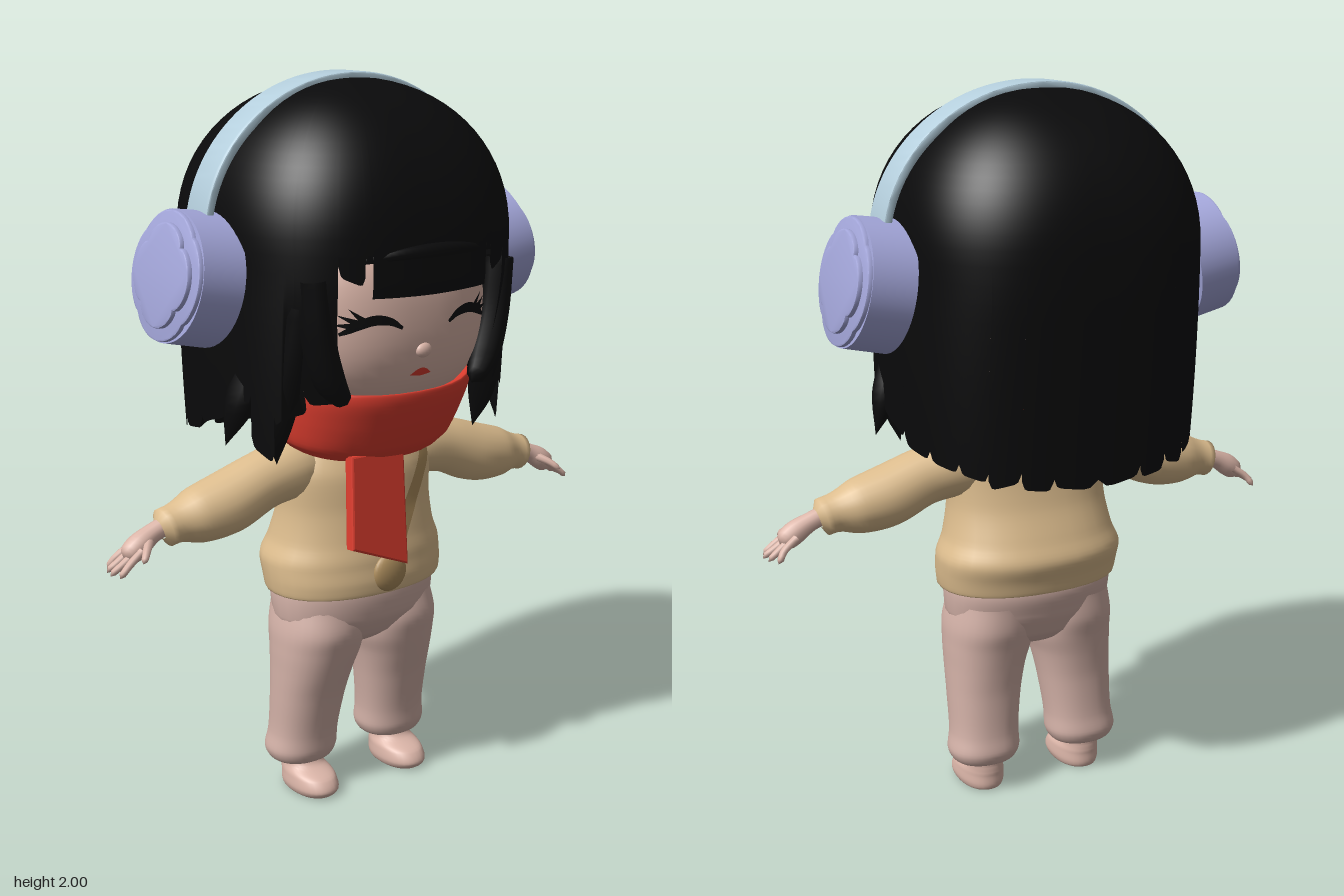
import * as THREE from 'three';
import { mergeVertices, mergeGeometries, toCreasedNormals } from 'three/addons/utils/BufferGeometryUtils.js';

const mat = (name, color, side = THREE.FrontSide) => {
  const m = new THREE.MeshStandardMaterial({ color, side });
  m.name = name;
  return m;
};
const V = (x, y, z = 0) => new THREE.Vector3(x, y, z);
const lerp = THREE.MathUtils.lerp;
const spow = (v, p) => Math.sign(v) * Math.abs(v) ** p;

// surface from fn(u, v): u runs to the right, v runs upward, seen from outside
function grid(nu, nv, fn) {
  const pos = [], idx = [];
  for (let i = 0; i <= nv; i++)
    for (let j = 0; j <= nu; j++) pos.push(...fn(j / nu, i / nv).toArray());
  for (let i = 0; i < nv; i++)
    for (let j = 0; j < nu; j++) {
      const a = i * (nu + 1) + j, b = a + nu + 1;
      idx.push(a, a + 1, b, a + 1, b + 1, b);
    }
  const g = new THREE.BufferGeometry();
  g.setAttribute('position', new THREE.Float32BufferAttribute(pos, 3));
  g.setIndex(idx);
  return smooth(g);
}
function smooth(g) {
  g.deleteAttribute('normal');
  g = mergeVertices(g, 1e-5);
  g.computeVertexNormals();
  return g;
}

// stacked oval sections, bottom to top: [y, centre x, half width, front z, back z]
function loft(rows, power = 0.9, lift = 0) {
  const c = new THREE.CatmullRomCurve3(rows.map(r => V(r[1], r[0], (r[3] + r[4]) / 2)));
  const s = new THREE.CatmullRomCurve3(rows.map(r => V(r[2], (r[3] - r[4]) / 2)));
  return grid(32, rows.length * 5, (u, v) => {
    const a = Math.PI * (1 + 2 * u), p = c.getPoint(v), r = s.getPoint(v);
    return V(p.x + r.x * spow(Math.sin(a), power), p.y + lift * (1 - Math.cos(a)) / 2,
      p.z + r.y * spow(Math.cos(a), power));
  });
}

// round limb through points [x, y, z, radius]
function limb(pts, segs = 20, sides = 16) {
  const c = new THREE.CatmullRomCurve3(pts.map(p => V(p[0], p[1], p[2])));
  const r = new THREE.CatmullRomCurve3(pts.map((p, i) => V(p[3], i)));
  const g = new THREE.TubeGeometry(c, segs, 1, sides), P = g.attributes.position;
  for (let i = 0; i <= segs; i++) {
    const o = c.getPointAt(i / segs), rad = Math.max(0, r.getPoint(c.getUtoTmapping(i / segs)).x);
    for (let j = 0; j <= sides; j++) {
      const k = i * (sides + 1) + j, q = V(0, 0).fromBufferAttribute(P, k).sub(o).multiplyScalar(rad).add(o);
      P.setXYZ(k, q.x, q.y, q.z);
    }
  }
  g.deleteAttribute('uv');
  return smooth(g);
}

// thin strip laid on the front of a mesh along 2D points
function ribbon(target, pts, width) {
  target.updateMatrixWorld();
  const c = new THREE.CatmullRomCurve3(pts.map(p => V(p[0], p[1])));
  const ray = new THREE.Raycaster();
  return grid(20, 2, (u, v) => {
    const t = c.getTangentAt(u), p = c.getPointAt(u).add(V(-t.y, t.x).multiplyScalar((v - 0.5) * width(u)));
    ray.set(V(p.x, p.y, 2), V(0, 0, -1));
    const hit = ray.intersectObject(target)[0];
    p.z = (hit ? hit.point.z : 0.15) + 0.006;
    return p;
  });
}

export function createModel() {
  const root = new THREE.Group();
  const hairM = mat('black hair', 0x0a0a0b, THREE.DoubleSide);
  const skin = mat('skin', 0xdcb6a9);
  const pants = mat('dusty pink trousers', 0xd4b2a8);
  const wool = mat('tan sweater', 0xddbd8e);
  const red = mat('red scarf', 0xdd3d2f, THREE.DoubleSide);
  const brown = mat('brown strap', 0xb0905f, THREE.DoubleSide);
  const lilac = mat('lilac cups', 0xa5a8dc);
  const blue = mat('pale blue band', 0xb4cedc);
  const add = (name, g, m, parent = root) => {
    const mesh = new THREE.Mesh(g, m);
    mesh.name = name;
    parent.add(mesh);
    return mesh;
  };

  // head: slightly squared ball
  const hg = new THREE.SphereGeometry(1, 48, 32), hp = hg.attributes.position;
  for (let i = 0; i < hp.count; i++) {
    const d = V(0, 0).fromBufferAttribute(hp, i);
    d.multiplyScalar((Math.abs(d.x) ** 2.5 + Math.abs(d.y) ** 2.5 + Math.abs(d.z) ** 2.5) ** -0.4);
    hp.setXYZ(i, d.x * 0.33, 1.4 + d.y * 0.29, 0.07 + d.z * 0.285);
  }
  hg.deleteAttribute('uv');
  const head = add('head', smooth(hg), skin);
  add('nose', new THREE.SphereGeometry(0.025, 16, 12).scale(1, 0.8, 0.6).translate(0, 1.315, 0.348), skin);
  add('mouth', ribbon(head, [[-0.034, 1.25], [0, 1.256], [0.034, 1.25]], u => 0.022 * Math.sin(Math.PI * u)), red);
  for (const s of [-1, 1]) {
    // closed smiling eye with lashes
    add('closedEye', ribbon(head, [[s * 0.075, 1.382], [s * 0.11, 1.402], [s * 0.16, 1.407], [s * 0.235, 1.375]],
      u => 0.008 + 0.018 * Math.sin(Math.PI * u)), hairM);
    [[0.2, 1.395, 0.25, 1.4], [0.19, 1.4, 0.24, 1.425], [0.175, 1.403, 0.215, 1.44]].forEach(l =>
      add('eyelash', ribbon(head, [[s * l[0], l[1]], [s * l[2], l[3]]], u => 0.02 * (1 - u)), hairM));
  }

  // hair cap, cut in strands: [start angle, end angle, bottom at start, bottom at end]
  const cuts = [[0, 19, 1.465, 1.47], [19, 22, 1.56, 1.56], [22, 33, 1.5, 1.53], [33, 52, 1.2, 1.19],
    [52, 60, 1.18, 1.14], [60, 72, 1.04, 1.08], [72, 82, 1.19, 1.2], [82, 96, 1.16, 1.09],
    [96, 112, 1.08, 1.06], [112, 128, 1.06, 1.04], [128, 142, 1.04, 1.02], [142, 156, 1.0, 1.02],
    [156, 168, 1.0, 0.99], [168, 180, 1.0, 0.98]];
  const strands = [];
  for (const s of [-1, 1]) for (const [a0, a1, b0, b1] of cuts)
    strands.push(grid(10, 30, (u, v) => {
      const t = s > 0 ? u : 1 - u, deg = lerp(a0, a1, t), a = s * deg * Math.PI / 180;
      const bottom = lerp(b0, b1, t) + (a0 ? 0.025 * Math.abs(2 * t - 1) ** 8 : 0);
      const up = Math.max(0, (v - 0.4) / 0.6) * Math.PI / 2;
      const y = v < 0.4 ? lerp(bottom, 1.58, v / 0.4) : 1.58 + 0.405 * Math.sin(up) ** 0.95;
      const r = Math.max(0, Math.cos(up)) ** 0.92, low = Math.max(0, 1.5 - y) / 0.5;
      const front = deg < 56, fx = front ? 1 - 0.4 * low * low : 1 + 0.04 * low - 0.05 * low * low;
      const fz = front ? 1 - 0.15 * low : 1 - 0.1 * low;
      const cz = Math.cos(a);
      return V(0.415 * r * fx * spow(Math.sin(a), 0.74), y, (cz > 0 ? 0.39 : 0.41) * r * fz * spow(cz, 0.74));
    }));
  add('hair', smooth(mergeGeometries(strands)), hairM);
  for (const s of [-1, 1]) {
    // loose locks beside the face and below the cups
    add('sideLock', limb([[s * 0.35, 1.4, 0.1, 0.04], [s * 0.365, 1.27, 0.1, 0.045],
      [s * 0.4, 1.17, 0.09, 0.04], [s * 0.435, 1.07, 0.08, 0]], 16, 8), hairM);
    add('frontLock', limb([[s * 0.31, 1.45, 0.24, 0.05], [s * 0.33, 1.25, 0.21, 0.045],
      [s * 0.34, 1.12, 0.18, 0.035], [s * 0.33, 1.02, 0.16, 0]], 16, 8), hairM);
    add('cheekLock', limb([[s * 0.3, 1.52, 0.29, 0.04], [s * 0.285, 1.37, 0.29, 0.042],
      [s * 0.255, 1.26, 0.29, 0.042], [s * 0.215, 1.2, 0.3, 0.022], [s * 0.205, 1.19, 0.3, 0]], 20, 10), hairM);
  }
  add('fringeTuft', limb([[-0.27, 1.55, 0.32, 0], [-0.1, 1.575, 0.382, 0.016], [0.1, 1.575, 0.382, 0.016],
    [0.27, 1.55, 0.32, 0]], 30, 8), hairM);

  // headphones
  const arch = new THREE.Shape();
  arch.absellipse(0, 1.6, 0.455, 0.4, 0, Math.PI, false, 0);
  arch.absellipse(0, 1.6, 0.44, 0.383, Math.PI, 0, true, 0);
  add('headband', toCreasedNormals(new THREE.ExtrudeGeometry(arch,
    { depth: 0.08, bevelEnabled: true, bevelSize: 0.005, bevelThickness: 0.01, bevelSegments: 3, curveSegments: 40 })
    .translate(0, -0.005, -0.05), 0.6), blue);
  const flower = (r, k, depth, x) => {
    const pts = Array.from({ length: 64 }, (_, i) => {
      const a = i / 64 * Math.PI * 2, q = r - k * (1 - Math.abs(Math.cos(2 * a)) ** 0.6);
      return new THREE.Vector2(q * Math.cos(a), q * Math.sin(a));
    });
    return toCreasedNormals(new THREE.ExtrudeGeometry(new THREE.Shape(pts),
      { depth, bevelSize: 0.004, bevelThickness: 0.005, bevelSegments: 2 }).rotateY(Math.PI / 2).translate(x, 0, 0), 0.6);
  };
  for (const s of [-1, 1]) {
    const cup = new THREE.Group();
    cup.name = 'earCup';
    cup.position.set(s * 0.48, 1.5, -0.01);
    cup.rotation.set(0, s > 0 ? 0 : Math.PI, 0.18);
    add('cupBody', new THREE.CylinderGeometry(0.17, 0.175, 0.12, 48).rotateZ(-Math.PI / 2), lilac, cup);
    add('cupRim', flower(0.163, 0.013, 0.012, 0.055), lilac, cup);
    add('cupPlate', flower(0.13, 0.024, 0.012, 0.068), lilac, cup);
    root.add(cup);
  }

  // sweater
  const torso = add('sweater', loft([[0.63, 0, 0.2, 0.17, -0.09], [0.612, 0, 0.262, 0.215, -0.13],
    [0.65, 0, 0.27, 0.22, -0.14], [0.7, 0, 0.272, 0.215, -0.155], [0.76, 0, 0.25, 0.205, -0.135],
    [0.85, 0, 0.235, 0.19, -0.1], [0.95, 0, 0.235, 0.18, -0.08], [1.03, 0, 0.2, 0.15, -0.07],
    [1.08, 0, 0.14, 0.13, -0.05], [1.13, 0, 0.1, 0.11, -0.02]]), wool);
  for (const s of [-1, 1]) {
    add('sleeve', limb([[s * 0.1, 0.96, 0.045, 0.06], [s * 0.2, 0.965, 0.045, 0.083], [s * 0.31, 0.945, 0.05, 0.08],
      [s * 0.42, 0.905, 0.05, 0.085], [s * 0.51, 0.888, 0.05, 0.075], [s * 0.57, 0.88, 0.05, 0.054],
      [s * 0.615, 0.87, 0.05, 0.05], [s * 0.62, 0.868, 0.05, 0.025]], 36, 20), wool);
    // hand with spread fingers
    const hand = new THREE.Group();
    hand.name = 'hand';
    add('palm', limb([[s * 0.58, 0.885, 0.05, 0.026], [s * 0.64, 0.865, 0.05, 0.026], [s * 0.685, 0.84, 0.053, 0.032],
      [s * 0.715, 0.818, 0.053, 0.026], [s * 0.725, 0.81, 0.053, 0]], 16, 12), skin, hand);
    for (let i = 0; i < 4; i++) {
      const z = 0.022 + i * 0.02, tip = 0.002 + i * 0.03, len = [0.745, 0.762, 0.768, 0.757][i];
      add('finger', limb([[s * 0.69, 0.835, z, 0.011], [s * 0.73, 0.806, lerp(z, tip, 0.5), 0.01],
        [s * len, 0.783, tip, 0.008], [s * (len + 0.004), 0.778, tip, 0]], 8, 8), skin, hand);
    }
    add('thumb', limb([[s * 0.655, 0.855, 0.06, 0.014], [s * 0.685, 0.838, 0.098, 0.011],
      [s * 0.705, 0.82, 0.12, 0.008], [s * 0.71, 0.816, 0.124, 0]], 8, 8), skin, hand);
    root.add(hand);
  }

  // strap and pouch
  add('strap', ribbon(torso, [[0.19, 1.0], [0.13, 0.91], [0.05, 0.78], [0.0, 0.69]], () => 0.045), brown);
  add('pouch', new THREE.SphereGeometry(0.055, 24, 16).scale(1, 1, 0.4).translate(0, 0.67, 0.213), brown);

  // scarf: wrapped ring, higher at the back, and hanging tail
  add('scarfWrap', loft([[1.05, 0, 0.17, 0.18, -0.05], [1.0, 0, 0.21, 0.23, -0.07], [1.03, 0, 0.255, 0.265, -0.09],
    [1.1, 0.005, 0.275, 0.3, -0.11], [1.17, 0.01, 0.285, 0.325, -0.11], [1.2, 0.01, 0.275, 0.325, -0.1],
    [1.18, 0.01, 0.24, 0.28, -0.07]], 0.9, 0.05), red);
  const tail = new THREE.Shape([[-0.145, 1.02], [-0.16, 0.78], [0.008, 0.712], [0.015, 1.02]]
    .map(p => new THREE.Vector2(...p)));
  add('scarfTail', new THREE.ExtrudeGeometry(tail, { depth: 0.022, bevelSize: 0.006, bevelThickness: 0.006, bevelSegments: 2 })
    .translate(0, -1.05, 0).rotateX(-0.11).translate(0, 1.05, 0.215), red);

  // trousers and feet
  add('hips', loft([[0.42, 0, 0.02, 0.07, 0], [0.44, 0, 0.09, 0.11, -0.05], [0.47, 0, 0.19, 0.15, -0.08],
    [0.53, 0, 0.243, 0.19, -0.107], [0.6, 0, 0.249, 0.2, -0.122], [0.66, 0, 0.24, 0.19, -0.11]]), pants);
  for (const s of [-1, 1]) {
    add('trouserLeg', loft([[0.11, s * 0.155, 0.06, 0.06, -0.05], [0.095, s * 0.157, 0.085, 0.08, -0.068],
      [0.13, s * 0.157, 0.104, 0.096, -0.083], [0.18, s * 0.153, 0.1, 0.1, -0.075], [0.3, s * 0.145, 0.107, 0.125, -0.07],
      [0.38, s * 0.137, 0.115, 0.15, -0.077], [0.44, s * 0.128, 0.124, 0.168, -0.087], [0.5, s * 0.126, 0.123, 0.181, -0.1],
      [0.57, s * 0.12, 0.115, 0.17, -0.1]]), pants);
    add('foot', loft([[0.004, s * 0.156, 0.001, 0.05, 0.049], [0.004, s * 0.156, 0.055, 0.135, -0.04],
      [0.025, s * 0.156, 0.065, 0.153, -0.05], [0.055, s * 0.156, 0.063, 0.135, -0.05],
      [0.08, s * 0.157, 0.055, 0.075, -0.048], [0.13, s * 0.157, 0.055, 0.055, -0.045]]), skin);
  }
  return root;
}
